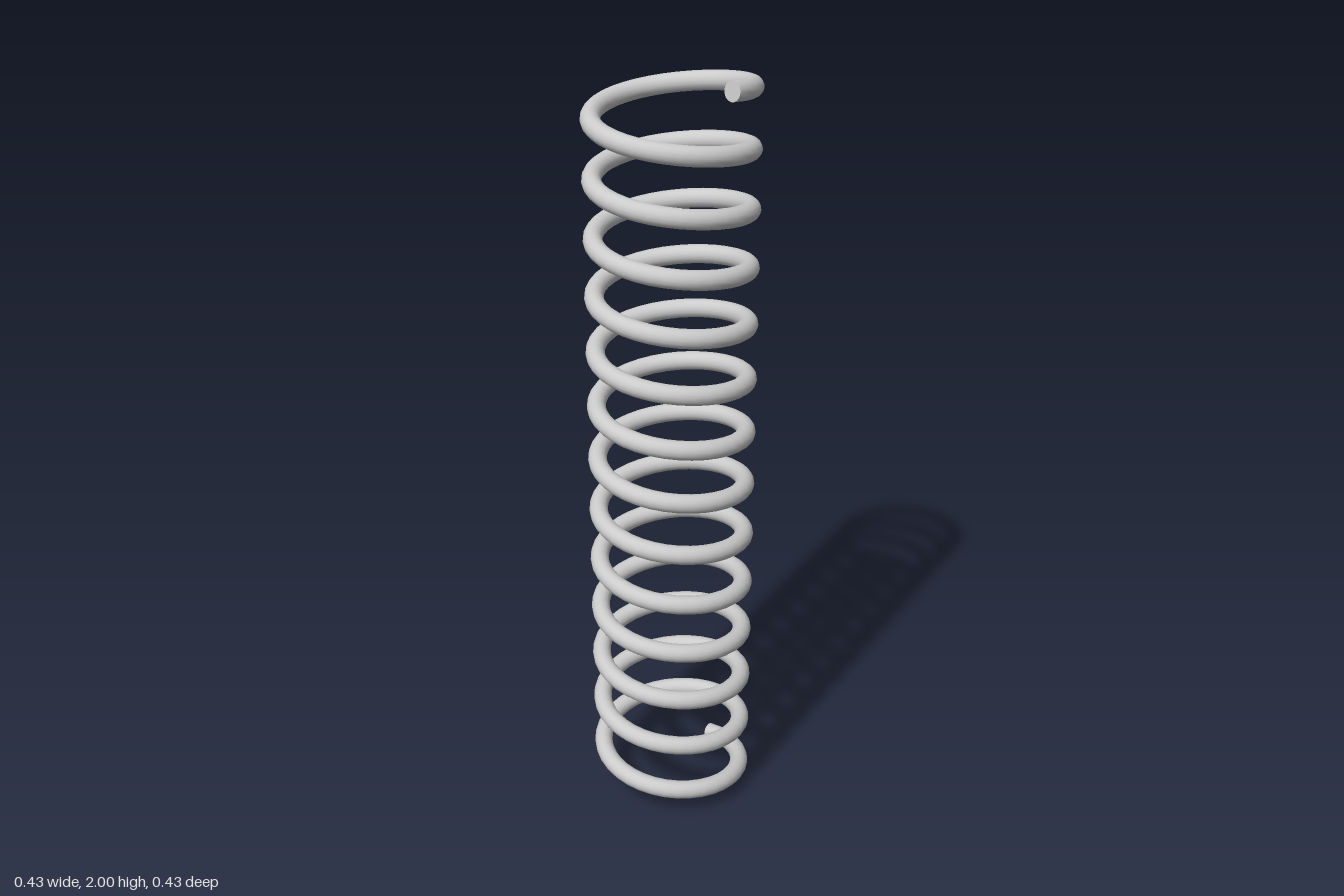
import * as THREE from 'three';

const COIL_RADIUS = 0.191;
const WIRE_RADIUS = 0.0243;
const TURNS = 13.276;
const WIRE_SIDES = 16;
const BOTTOM = 0.0241;
const TOP = 2 - BOTTOM;

// Centre line of the wire: starts at +x and climbs towards +z
class Helix extends THREE.Curve {
  getPoint(t, target = new THREE.Vector3()) {
    const a = t * TURNS * Math.PI * 2;
    return target.set(
      COIL_RADIUS * Math.cos(a),
      BOTTOM + (TOP - BOTTOM) * t,
      COIL_RADIUS * Math.sin(a)
    );
  }
}

export function createModel() {
  const group = new THREE.Group();
  group.name = 'coilSpring';
  const material = new THREE.MeshStandardMaterial({ color: 0xcccccc });

  // Coiled wire
  const helix = new Helix();
  const segments = Math.round(TURNS * 36);
  const tube = new THREE.TubeGeometry(helix, segments, WIRE_RADIUS, WIRE_SIDES, false);
  const wire = new THREE.Mesh(tube, material);
  wire.name = 'wire';
  group.add(wire);

  // Flat cut ends, aligned with the first and last rings of the wire
  for (const [name, t, i, sign] of [['bottomEnd', 0, 0, -1], ['topEnd', 1, segments, 1]]) {
    const basis = new THREE.Matrix4().makeBasis(
      tube.normals[i],
      tube.binormals[i].clone().multiplyScalar(sign),
      tube.tangents[i].clone().multiplyScalar(sign)
    );
    const cap = new THREE.Mesh(new THREE.CircleGeometry(WIRE_RADIUS, WIRE_SIDES), material);
    cap.name = name;
    cap.quaternion.setFromRotationMatrix(basis);
    cap.position.copy(helix.getPoint(t));
    group.add(cap);
  }

  return group;
}
